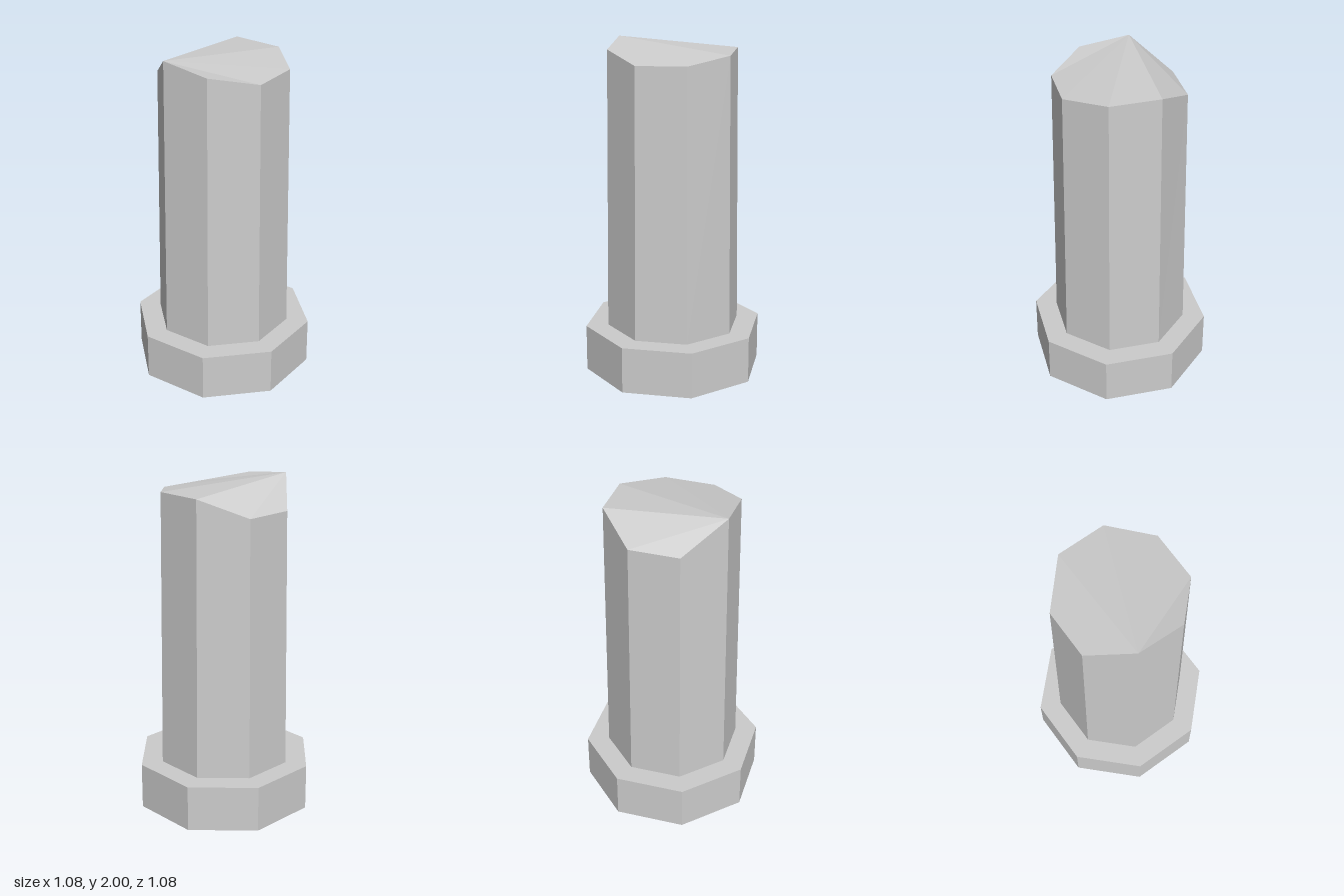
import * as THREE from 'three';

const SIDES = 8;
const BASE_HEIGHT = 0.28;
// Height of each shaft corner, counted from the front (+z) towards +x
const CUT_HEIGHTS = [1.905, 1.91, 1.945, 1.952, 1.843, 1.84, 2.0, 1.96];
const TOP_RADIUS = 0.385;
const FOOT_RADIUS = 0.404;

export function createModel() {
  const group = new THREE.Group();
  group.name = 'brokenColumn';
  const stone = new THREE.MeshStandardMaterial({ color: 0xcccccc, flatShading: true });
  stone.name = 'greyStone';

  function add(name, geometry) {
    const mesh = new THREE.Mesh(geometry, stone);
    mesh.name = name;
    group.add(mesh);
    return mesh;
  }

  // Octagonal plinth
  const base = add('base', new THREE.CylinderGeometry(0.538, 0.538, BASE_HEIGHT, SIDES));
  base.position.y = BASE_HEIGHT / 2;

  // Tapered shaft whose top ring follows the uneven cut
  const shaft = new THREE.CylinderGeometry(TOP_RADIUS, FOOT_RADIUS, 1, SIDES, 1, true);
  const pos = shaft.attributes.position;
  for (let i = 0; i < pos.count; i++) {
    pos.setY(i, pos.getY(i) > 0 ? CUT_HEIGHTS[i % (SIDES + 1) % SIDES] : BASE_HEIGHT);
  }
  const shaftFlat = shaft.toNonIndexed();
  shaftFlat.computeVertexNormals();
  add('shaft', shaftFlat);

  // Broken top face, fanned out from its highest corner
  const corner = (i) => {
    const k = i % SIDES;
    const a = (k / SIDES) * Math.PI * 2;
    return new THREE.Vector3(Math.sin(a) * TOP_RADIUS, CUT_HEIGHTS[k], Math.cos(a) * TOP_RADIUS);
  };
  const peak = 6;
  const points = [];
  for (let i = 1; i < SIDES - 1; i++) {
    points.push(corner(peak), corner(peak + i), corner(peak + i + 1));
  }
  const top = new THREE.BufferGeometry().setFromPoints(points);
  top.computeVertexNormals();
  add('brokenTop', top);

  return group;
}
